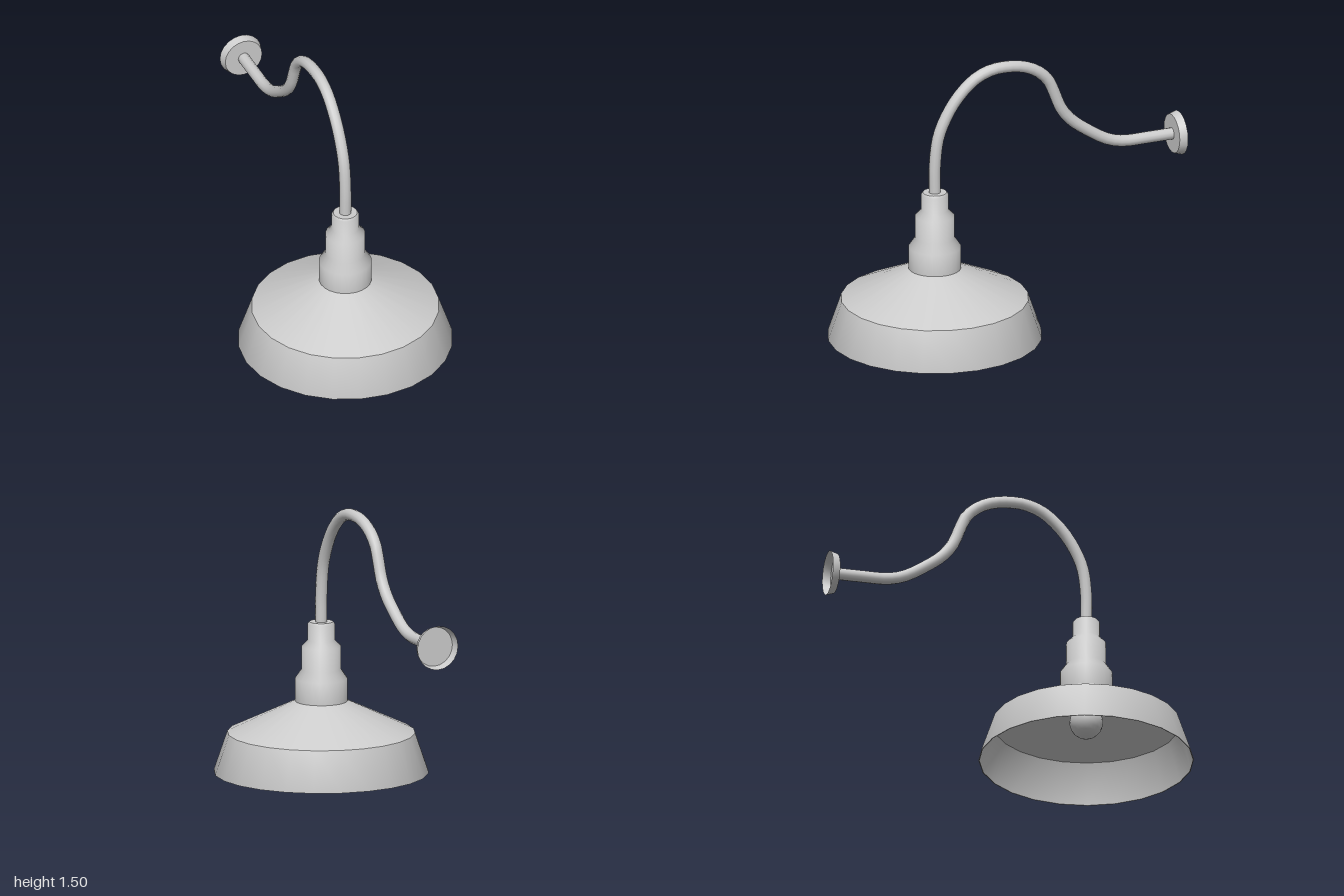
import * as THREE from 'three';
import { toCreasedNormals } from 'three/addons/utils/BufferGeometryUtils.js';

const LAMP_Z = 0.425;
const PLATE_Y = 0.942;

const solid = new THREE.MeshStandardMaterial({ color: 0xcccccc });
const thin = new THREE.MeshStandardMaterial({ color: 0xcccccc, side: THREE.DoubleSide });

// Turned part from [radius, height] pairs, listed bottom to top
function turned(name, profile, sides, crease, material) {
  const points = profile.map(([r, y]) => new THREE.Vector2(r, y));
  const geometry = toCreasedNormals(new THREE.LatheGeometry(points, sides), crease);
  const mesh = new THREE.Mesh(geometry, material);
  mesh.name = name;
  return mesh;
}

export function createModel() {
  const model = new THREE.Group();
  model.name = 'wallLamp';

  // Lamp head: shade, socket and bulb share one vertical axis
  const head = new THREE.Group();
  head.name = 'lampHead';
  head.position.z = LAMP_Z;
  head.add(turned('shade', [
    [0.57, 0], [0.575, 0], [0.575, 0.007], [0.503, 0.218], [0.138, 0.39],
  ], 24, 0.5, thin));
  head.add(turned('socket', [
    [0, 0.388], [0.141, 0.388], [0.141, 0.51], [0.107, 0.56], [0.107, 0.685],
    [0.073, 0.72], [0.073, 0.808], [0.064, 0.82], [0, 0.82],
  ], 24, 0.9, solid));

  // Round bulb narrowing into a neck
  const bulbProfile = [];
  for (let i = 0; i <= 10; i++) {
    const a = (i / 10) * 2.65;
    bulbProfile.push([0.09 * Math.sin(a), 0.222 - 0.09 * Math.cos(a)]);
  }
  bulbProfile.push([0.04, 0.33], [0.04, 0.39]);
  head.add(turned('bulb', bulbProfile, 20, 1, solid));
  model.add(head);

  // Gooseneck pipe, as [z, y] points from the socket to the wall
  const path = [
    [0.425, 0.815], [0.425, 0.965], [0.405, 1.125], [0.36, 1.235], [0.29, 1.34],
    [0.19, 1.43], [0.1, 1.466], [0.03, 1.473], [-0.08, 1.461], [-0.17, 1.422],
    [-0.235, 1.362], [-0.267, 1.295], [-0.31, 1.19], [-0.37, 1.112], [-0.475, 1.032],
    [-0.58, 0.97], [-0.67, 0.945], [-0.82, PLATE_Y], [-0.957, PLATE_Y],
  ].map(([z, y]) => new THREE.Vector3(0, y, z));
  const arm = new THREE.Mesh(
    new THREE.TubeGeometry(new THREE.CatmullRomCurve3(path), 48, 0.032, 12), thin);
  arm.name = 'gooseneckArm';
  model.add(arm);

  // Wall plate: shallow cup, open towards the wall
  const plate = turned('wallPlate', [[0.12, 0], [0.107, 0.043], [0, 0.043]], 20, 0.5, thin);
  plate.rotation.x = Math.PI / 2;
  plate.position.set(0, PLATE_Y, -1);
  model.add(plate);

  return model;
}
